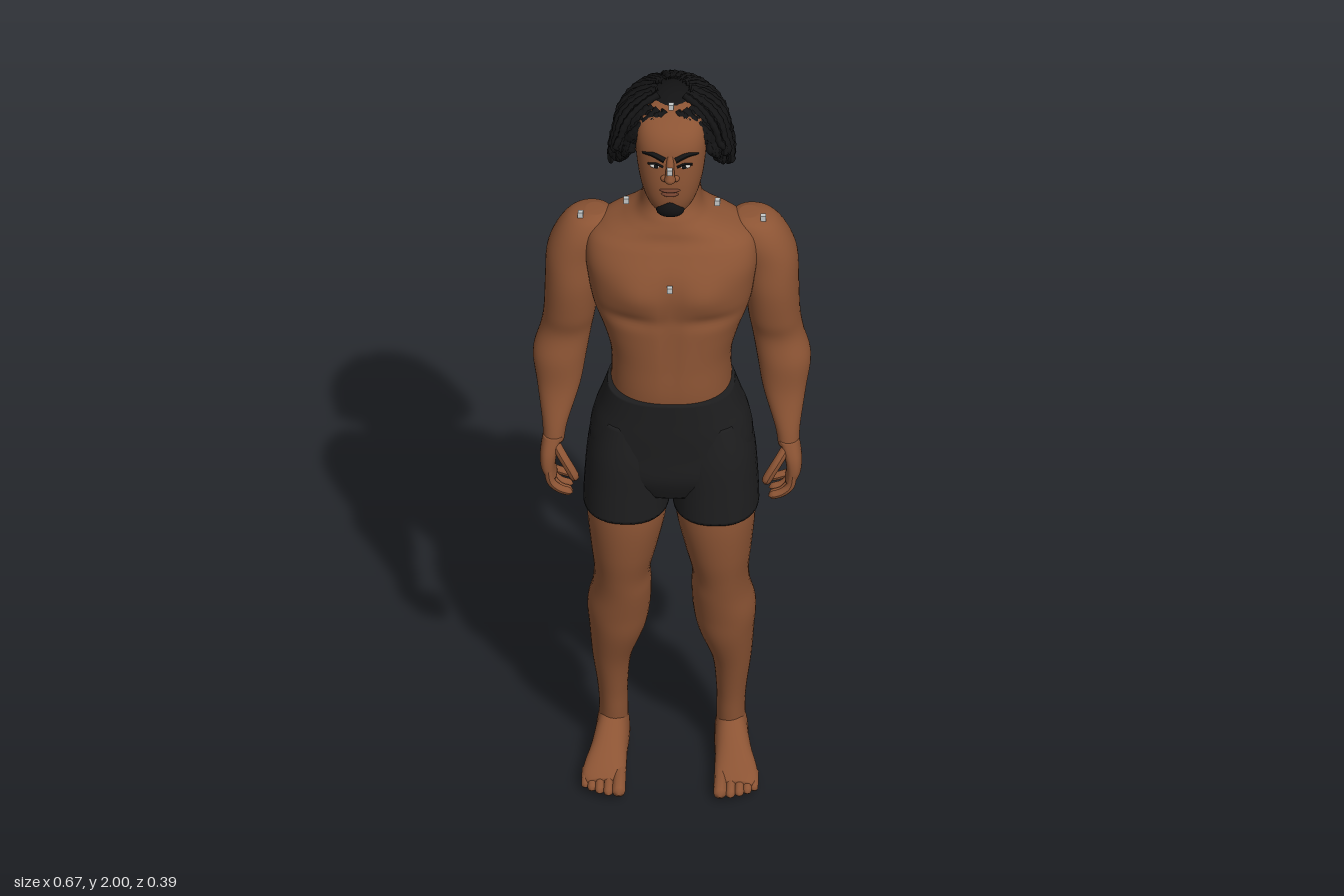
import * as THREE from 'three';
import { mergeGeometries } from 'three/addons/utils/BufferGeometryUtils.js';

const mat = (name, color, side = THREE.FrontSide) => {
  const m = new THREE.MeshStandardMaterial({ color, side });
  m.name = name;
  return m;
};

// Smooth loft through rows [y, cx, cz, halfWidth, front, back], superellipse power p
function loft(rows, { p = 2.2, seg = 36, sub = 6, rule } = {}) {
  const pos = [], idx = [], rings = [];
  const cr = (a, b, c, d, t) =>
    0.5 * (2 * b + (c - a) * t + (2 * a - 5 * b + 4 * c - d) * t * t + (3 * b - a - 3 * c + d) * t ** 3);
  for (let i = 0; i < rows.length - 1; i++) {
    const q = [rows[Math.max(i - 1, 0)], rows[i], rows[i + 1], rows[Math.min(i + 2, rows.length - 1)]];
    for (let k = 0; k < sub; k++) rings.push(q[1].map((_, c) => cr(q[0][c], q[1][c], q[2][c], q[3][c], k / sub)));
  }
  rings.push(rows[rows.length - 1]);
  const pw = (v) => Math.sign(v) * Math.abs(v) ** (2 / p);
  for (const [y, cx, cz, rx, f, b] of rings)
    for (let j = 0; j < seg; j++) {
      const a = (j / seg) * Math.PI * 2, c = Math.cos(a);
      const v = new THREE.Vector3(cx + rx * pw(Math.sin(a)), y, cz + (c > 0 ? f : b) * pw(c));
      if (rule) rule(v);
      pos.push(v.x, v.y, v.z);
    }
  for (let i = 0; i < rings.length - 1; i++)
    for (let j = 0; j < seg; j++) {
      const a = i * seg + j, b = i * seg + ((j + 1) % seg);
      idx.push(a, b, a + seg, b, b + seg, a + seg);
    }
  const last = rings.length - 1, n = pos.length / 3;
  for (const r of [rings[0], rings[last]]) pos.push(r[1], r[0], r[2]);
  for (let j = 0; j < seg; j++) {
    const k = (j + 1) % seg;
    idx.push(n, k, j, n + 1, last * seg + j, last * seg + k);
  }
  const g = new THREE.BufferGeometry();
  g.setAttribute('position', new THREE.Float32BufferAttribute(pos, 3));
  g.setIndex(idx);
  g.computeVertexNormals();
  return g;
}

const curve = (pts) => new THREE.CatmullRomCurve3(pts.map((q) => new THREE.Vector3(...q)));

// Round-ended tube whose radius follows a rule along its length
function strand(pts, r, n, radial, profile) {
  const c = curve(pts), g = new THREE.TubeGeometry(c, n, r, radial), P = g.attributes.position;
  const v = new THREE.Vector3();
  for (let i = 0; i <= n; i++) {
    const o = c.getPointAt(i / n), k = profile(i / n);
    for (let j = 0; j <= radial; j++) {
      const id = i * (radial + 1) + j;
      v.fromBufferAttribute(P, id).sub(o).multiplyScalar(k).add(o);
      P.setXYZ(id, v.x, v.y, v.z);
    }
  }
  g.computeVertexNormals();
  return g;
}
const finger = (pts, r) => strand(pts, r, 14, 10, (t) => Math.sqrt(Math.max(0, 1 - Math.max(0, (t - 0.86) / 0.14) ** 2)));

const ball = (x, y, z, sx, sy, sz) => new THREE.SphereGeometry(1, 20, 14).scale(sx, sy, sz).translate(x, y, z);
const gauss = (v) => Math.exp(-v * v);

export function createModel() {
  const model = new THREE.Group();
  const skin = mat('skin', 0x8c5434), cloth = mat('black cloth', 0x1e1e1f), hair = mat('black hair', 0x131314);
  const lip = mat('lips', 0x71402d), white = mat('eye white', 0xd8d4ce), marker = mat('marker grey', 0xc4c8c8);
  const add = (name, geo, m) => {
    const mesh = new THREE.Mesh(geo, m);
    mesh.name = name;
    model.add(mesh);
    return mesh;
  };

  // Torso and neck, with pectorals, abdominal line and spine groove
  add('torso', loft([
    [1.10, 0, 0, .15, .13, .085], [1.18, 0, 0, .145, .138, .085], [1.26, 0, 0, .147, .136, .095],
    [1.33, 0, 0, .165, .134, .11], [1.40, 0, 0, .19, .132, .125], [1.47, 0, 0, .202, .132, .14],
    [1.53, 0, 0, .208, .124, .143], [1.58, 0, -.01, .2, .112, .122], [1.61, 0, -.015, .165, .1, .108],
    [1.635, 0, -.015, .115, .093, .1], [1.66, 0, -.02, .082, .088, .09], [1.70, 0, -.025, .07, .075, .08],
    [1.78, 0, -.025, .068, .07, .08],
  ], { p: 2.4, seg: 64, sub: 8, rule: (v) => {
    const ax = Math.abs(v.x);
    if (v.z > .03) {
      v.z += .014 * gauss((ax - .08) / .06) * gauss((v.y - 1.475) / .05);
      v.z -= .006 * gauss(v.x / .012) * gauss((v.y - 1.38) / .16);
      v.z -= .008 * gauss((ax - .1) / .07) * gauss((v.y - 1.4) / .02);
    } else if (v.z < -.03) {
      v.z += .018 * gauss(v.x / .022) * gauss((v.y - 1.36) / .2);
      v.z -= .008 * gauss((ax - .1) / .05) * gauss((v.y - 1.5) / .07);
    }
  } }), skin);

  // Shorts: hips and two short legs
  add('shortsHips', loft([
    [.87, 0, .02, .12, .1, .1], [.93, 0, .02, .185, .122, .13], [1.0, 0, .02, .197, .124, .147],
    [1.06, 0, .02, .187, .126, .15], [1.11, 0, .02, .17, .126, .135], [1.165, 0, .02, .153, .126, .112],
  ], { p: 2.5, seg: 48, rule: (v) => { if (v.z < -.03) v.z += .016 * gauss(v.x / .022) * gauss((v.y - 1) / .1); } }), cloth);

  for (const s of [1, -1]) {
    const side = s > 0 ? 'left' : 'right';
    add(side + 'ShortsLeg', loft([
      [.808, s * .108, .02, .104, .125, .126], [.88, s * .106, .02, .103, .124, .13],
      [.98, s * .1, .02, .1, .122, .145], [1.08, s * .09, .02, .085, .11, .13],
    ], { p: 2.3 }), cloth);

    // Leg from ankle to thigh
    add(side + 'Leg', loft([
      [.05, s * .142, -.055, .036, .045, .05], [.13, s * .141, -.052, .035, .053, .047],
      [.2, s * .143, -.045, .037, .057, .058], [.3, s * .144, -.035, .048, .072, .072],
      [.4, s * .131, -.02, .068, .09, .094], [.47, s * .127, -.01, .076, .095, .108],
      [.54, s * .119, .005, .071, .095, .095], [.6, s * .118, .01, .069, .103, .098],
      [.68, s * .113, .015, .082, .115, .107], [.78, s * .107, .02, .096, .12, .122],
      [.88, s * .104, .02, .095, .115, .118],
    ], { p: 2.1 }), skin);

    // Foot lofted from heel to ball, then toes
    add(side + 'Foot', loft([
      [-.122, s * .142, -.042, .012, .012, .015], [-.108, s * .142, -.042, .03, .03, .04],
      [-.07, s * .142, -.042, .04, .031, .085], [-.02, s * .144, -.042, .042, .029, .085],
      [.03, s * .15, -.04, .045, .026, .055], [.08, s * .157, -.035, .051, .022, .035],
      [.12, s * .16, -.03, .052, .018, .022], [.145, s * .158, -.028, .04, .013, .015],
    ], { p: 2.3 }).rotateX(Math.PI / 2), skin);
    [[.122, .184, .016], [.147, .182, .0115], [.168, .174, .011], [.187, .163, .0105], [.203, .149, .01]].forEach(([x, z, r], i) =>
      add(side + 'Toe' + (i + 1), finger([[s * x, .036, .095], [s * x, .031, z - .03], [s * x, .013 + r * .6, z]], r), skin));

    // Arm from wrist to shoulder
    add(side + 'Arm', loft([
      [.985, s * .283, .033, .026, .033, .033], [1.03, s * .28, .022, .031, .036, .038],
      [1.12, s * .272, -.01, .052, .045, .052], [1.2, s * .27, -.032, .065, .062, .068],
      [1.27, s * .255, -.042, .062, .062, .062], [1.33, s * .246, -.04, .063, .072, .068],
      [1.42, s * .24, -.04, .066, .08, .078], [1.5, s * .234, -.045, .068, .078, .08],
      [1.56, s * .213, -.045, .067, .07, .075], [1.6, s * .195, -.045, .054, .052, .058],
      [1.615, s * .185, -.045, .022, .025, .025],
    ], { p: 2.1 }), skin);

    // Hand with curled fingers
    add(side + 'Palm', loft([
      [.885, s * .288, .04, .014, .036, .034], [.915, s * .296, .042, .018, .04, .037],
      [.955, s * .294, .042, .021, .037, .034], [1.0, s * .283, .033, .025, .031, .031],
    ], { p: 2.5 }), skin);
    for (let i = 0; i < 4; i++) {
      const z = .071 - i * .02, drop = [.008, 0, .004, .018][i];
      add(side + 'Finger' + (i + 1), finger([[s * .295, .92, z], [s * .288, .88, z + .002],
        [s * .268, .853 + drop, z + .004], [s * .235, .842 + drop, z + .004]], .0105), skin);
    }
    add(side + 'Thumb', finger([[s * .282, .985, .05], [s * .258, .95, .072], [s * .24, .92, .08], [s * .226, .89, .082]], .012), skin);
  }

  // Head
  add('head', loft([
    [1.70, 0, .03, .022, .04, .06], [1.715, 0, .03, .048, .075, .09], [1.75, 0, .03, .066, .09, .11],
    [1.80, 0, .03, .078, .093, .13], [1.86, 0, .03, .085, .088, .145], [1.91, 0, .03, .086, .08, .15],
    [1.945, 0, .02, .077, .067, .135], [1.968, 0, .0, .055, .045, .1], [1.98, 0, -.02, .02, .02, .04],
  ], { p: 2.3, seg: 48 }), skin);
  const face = (x, y, out = 0) => [x, y, .03 + out + (.088 - Math.max(0, y - 1.86) * .16) * (1 - Math.abs(x / .085) ** 2.3) ** (1 / 2.3)];

  // Nose, mouth and chin beard
  add('noseBridge', strand([[0, 1.89, .11], [0, 1.862, .122], [0, 1.836, .13]], .011, 10, 12, (t) => .7 + .4 * t), skin);
  add('noseTip', ball(0, 1.834, .127, .014, .012, .014), skin);
  add('upperLip', ball(0, 1.797, .118, .026, .006, .012), lip);
  add('lowerLip', ball(0, 1.786, .118, .022, .007, .013), lip);
  const beard = ball(0, 0, 0, 1, 1, 1), B = beard.attributes.position;
  for (let i = 0; i < B.count; i++) B.setX(i, B.getX(i) * (1 - .55 * B.getY(i)));
  beard.scale(.031, .032, .029).translate(0, 1.739, .1);
  beard.computeVertexNormals();
  add('chinBeard', beard, hair);

  for (const s of [1, -1]) {
    add('nostril', ball(s * .013, 1.832, .119, .01, .009, .01), skin);
    add('ear', ball(s * .088, 1.85, -.01, .01, .03, .018), skin);
    add('eyebrow', strand([face(s * .013, 1.882, .001), face(s * .04, 1.893, .001), face(s * .067, 1.886, .001)],
      .0075, 12, 8, (t) => 1 - .6 * t * t), hair);
    add('eye', ball(...face(s * .034, 1.862, -.003), .015, .006, .006), white);
    add('iris', ball(...face(s * .034, 1.862, .0005), .006, .006, .004), hair);
    add('eyelashes', strand([face(s * .017, 1.864, .001), face(s * .034, 1.87, .001), face(s * .053, 1.864, .001)], .003, 8, 6, () => 1), hair);
    add('moustache', strand([face(s * .004, 1.812, .002), face(s * .018, 1.81, .001), face(s * .031, 1.8, .001)], .0026, 8, 6, (t) => 1 - .5 * t), hair);
  }

  // Hair: scalp cap with rope-like locks draped over it
  add('hairCap', ball(0, 1.877, -.035, .1, .111, .122), hair);
  let seed = 7;
  const rnd = () => (seed = (seed * 16807) % 2147483647) / 2147483647;
  const locks = [];
  const lock = (a0, a1, t0, grow, yEnd) => {
    const pts = [];
    for (let k = 0; k <= 5; k++) {
      const u = k / 5, t = t0 + (1.5 - t0) * u, a = a0 + (a1 - a0) * u;
      const rx = .104 + grow, rz = Math.cos(a) > 0 ? .118 + grow * .5 : .118 + grow;
      pts.push([Math.sin(a) * Math.sin(t) * rx, 1.875 + (.107 + grow * .25) * Math.cos(t), -.03 + Math.cos(a) * Math.sin(t) * rz]);
    }
    const [x, y, z] = pts[5], flare = 1.02 + rnd() * .07;
    pts.push([x * flare, (y + yEnd) / 2, z * flare], [x * (flare + .02), yEnd, z * (flare + .02)]);
    const ph = rnd() * 6;
    locks.push(strand(pts, .0098, 24, 7, (t) => (1 + .16 * Math.sin(t * 60 + ph)) * (t > .97 ? .45 : 1)));
  };
  for (const s of [1, -1]) {
    [.25, .62, 1].forEach((t0, layer) => {
      const n = 13 + layer * 2;
      for (let i = 0; i < n; i++) {
        const a = 1.05 + (i + .5 * rnd()) / n * (Math.PI - 1.05);
        const end = 1.745 + .09 * Math.max(0, 1 - (a - 1.05) / .6) + rnd() * .03 + layer * .004;
        lock(s * (a + .25 * (rnd() - .5)), s * a, t0 + .15 * rnd(), .03 - layer * .009, end);
      }
    });
    // Front locks swept aside from the centre parting
    for (let i = 0; i < 8; i++) lock(s * (.25 + i * .09), s * (.9 + i * .05), .55 + .05 * (i % 3), .008 + .003 * (i % 4), 1.855 - .008 * i);
  }
  add('hairLocks', mergeGeometries(locks), hair);

  // Small attachment markers
  const spots = [[0, 1.988, .04], [0, 1.51, .138], [0, 1.51, -.14], [0, 1.862, .134], [0, 1.08, -.128]];
  for (const s of [1, -1]) spots.push([s * .22, 1.615, -.02], [s * .11, 1.66, -.02], [s * .17, .0075, .1]);
  for (const q of spots) add('marker', new THREE.BoxGeometry(.013, .015, .013).translate(...q), marker);

  return model;
}
